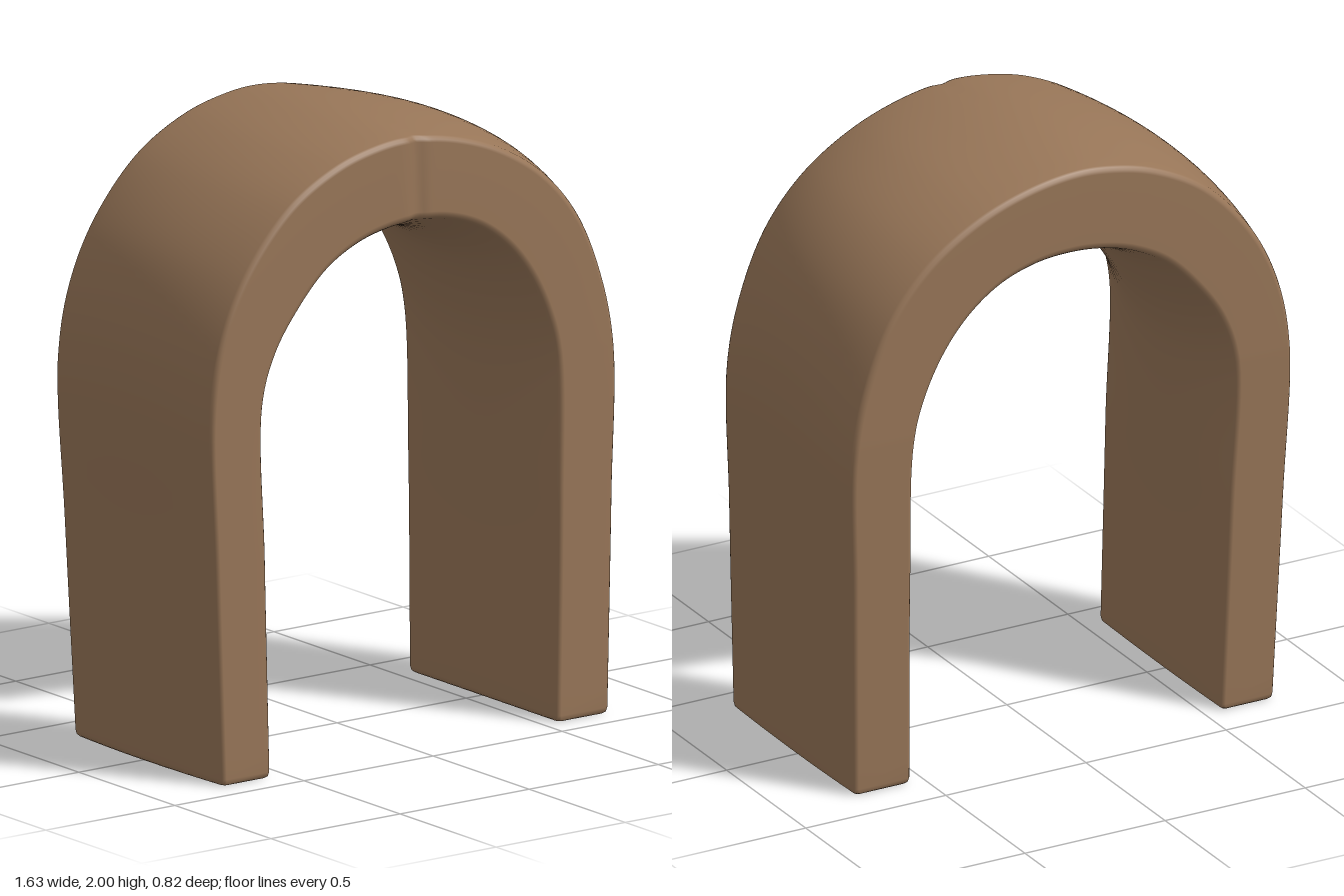
import * as THREE from 'three';

const clay = new THREE.MeshStandardMaterial({ color: 0x987658 });
clay.name = 'brown clay';

const curve = (...p) => new THREE.CatmullRomCurve3(p.map(([x, y]) => new THREE.Vector3(x, y, 0)), false, 'centripetal');

// Rails run from the right foot over the crown to the left foot, with matching points
const outerEdge = curve([-0.745, 0.02], [-0.77, 0.7], [-0.785, 1.2], [-0.745, 1.43], [-0.65, 1.63], [-0.48, 1.82],
  [-0.3, 1.92], [-0.15, 1.96], [-0.02, 1.97], [0.15, 1.945], [0.33, 1.88], [0.5, 1.77], [0.63, 1.62], [0.72, 1.42],
  [0.772, 1.18], [0.765, 0.7], [0.75, 0.02]);
const outerMiddle = curve([-0.76, 0.02], [-0.79, 0.7], [-0.815, 1.2], [-0.785, 1.43], [-0.7, 1.64], [-0.54, 1.82],
  [-0.36, 1.93], [-0.18, 1.985], [-0.03, 2.0], [0.16, 1.98], [0.37, 1.92], [0.56, 1.81], [0.69, 1.66], [0.775, 1.45],
  [0.81, 1.2], [0.79, 0.7], [0.757, 0.02]);
const innerEdge = curve([-0.56, 0.02], [-0.578, 0.7], [-0.59, 1.2], [-0.54, 1.36], [-0.45, 1.49], [-0.34, 1.6],
  [-0.22, 1.665], [-0.11, 1.695], [0, 1.705], [0.12, 1.695], [0.25, 1.65], [0.36, 1.57], [0.45, 1.46], [0.52, 1.32],
  [0.556, 1.18], [0.56, 0.7], [0.55, 0.02]);
const innerMiddle = curve([-0.555, 0.02], [-0.555, 0.7], [-0.525, 1.12], [-0.48, 1.27], [-0.4, 1.41], [-0.3, 1.53],
  [-0.2, 1.59], [-0.11, 1.61], [-0.02, 1.615], [0.1, 1.605], [0.22, 1.57], [0.33, 1.5], [0.41, 1.4], [0.48, 1.25],
  [0.522, 1.08], [0.55, 0.7], [0.55, 0.02]);

// Rounded cross-section: s runs front (1) to back (-1), u runs inner (0) to outer (1)
function sectionLoop() {
  const rs = 0.04, ru = 0.07, loop = [];
  const corner = (cs, cu, start) => {
    for (let i = 0; i <= 3; i++) {
      const a = start + (i / 3) * Math.PI / 2;
      loop.push([cs + Math.cos(a) * rs, cu + Math.sin(a) * ru]);
    }
  };
  const side = (u, dir) => {
    for (let i = 1; i < 14; i++) loop.push([dir * (1 - rs) * (1 - i / 7), u]);
  };
  corner(1 - rs, 1 - ru, 0);
  side(1, 1);
  corner(-1 + rs, 1 - ru, Math.PI / 2);
  corner(-1 + rs, ru, Math.PI);
  side(0, -1);
  corner(1 - rs, ru, Math.PI * 1.5);
  return loop;
}

function archGeometry() {
  const loop = sectionLoop(), n = loop.length, steps = 160;
  const positions = [], index = [];

  const addPoint = (t, s, u, y) => {
    const bulge = 1 - s * s;
    const outer = outerEdge.getPoint(t).lerp(outerMiddle.getPoint(t), bulge);
    const inner = innerEdge.getPoint(t).lerp(innerMiddle.getPoint(t), bulge);
    const p = inner.lerp(outer, u);
    if (y !== undefined) p.y = y;
    // The legs lean in at the back, and a shallow seam dents the front of the crown
    const back = 0.408 - 0.04 * Math.max(0, 1 - p.y / 1.2);
    const front = 0.41 - (p.y > 1.5 ? 0.012 * Math.exp(-((p.x - 0.01) ** 2) / 0.0006) : 0);
    positions.push(p.x, p.y, s > 0 ? s * front : s * back);
  };
  const addRing = (t, inset = 1, y) => {
    for (const [s, u] of loop) addPoint(t, s * (1 - (1 - inset) * 0.25), 0.5 + (u - 0.5) * inset, y);
  };

  // Rings, with a small rounded rim under each foot
  addRing(0, 0.9, 0);
  addRing(0, 0.97, 0.006);
  for (let i = 0; i <= steps; i++) addRing(i / steps);
  addRing(1, 0.97, 0.006);
  addRing(1, 0.9, 0);
  const rings = steps + 5;
  for (let i = 0; i < rings - 1; i++) {
    for (let k = 0; k < n; k++) {
      const a = i * n + k, b = i * n + (k + 1) % n, c = a + n, d = b + n;
      index.push(a, c, b, b, c, d);
    }
  }

  // Soles
  const first = rings * n, lastRing = (rings - 1) * n;
  addPoint(0, 0, 0.5, 0);
  addPoint(1, 0, 0.5, 0);
  for (let k = 0; k < n; k++) {
    const next = (k + 1) % n;
    index.push(first, k, next, first + 1, lastRing + next, lastRing + k);
  }

  const geometry = new THREE.BufferGeometry();
  geometry.setAttribute('position', new THREE.Float32BufferAttribute(positions, 3));
  geometry.setIndex(index);
  geometry.computeVertexNormals();
  return geometry;
}

export function createModel() {
  const group = new THREE.Group();
  group.name = 'archway';
  const arch = new THREE.Mesh(archGeometry(), clay);
  arch.name = 'arch';
  group.add(arch);
  return group;
}
